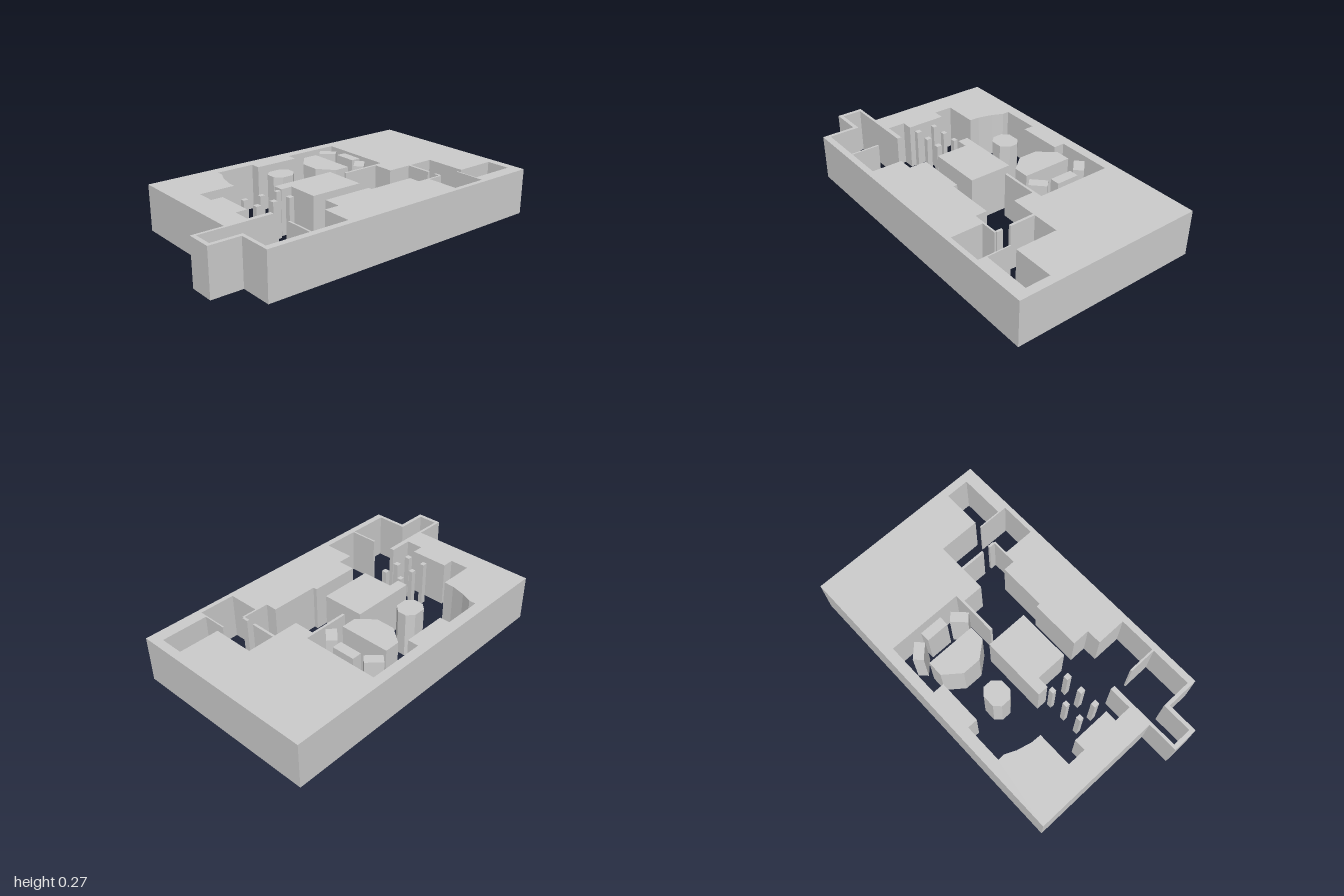
import * as THREE from 'three';

const H = 0.273;
const material = new THREE.MeshStandardMaterial({ color: 0xcccccc, flatShading: true });

// Plan points are [x, z]; plans are raised from the ground to height H.
const toPlan = pts => pts.map(([x, z]) => new THREE.Vector2(x, -z));

// Outline and hole are both listed clockwise; the hole is reversed so its walls face inward.
function raise(name, outline, hole) {
  const shape = new THREE.Shape(toPlan(outline));
  if (hole) shape.holes.push(new THREE.Path(toPlan(hole).reverse()));
  const geo = new THREE.ExtrudeGeometry(shape, { depth: H, bevelEnabled: false });
  geo.rotateX(-Math.PI / 2);
  const mesh = new THREE.Mesh(geo, material);
  mesh.name = name;
  return mesh;
}

function block(name, x0, x1, z0, z1) {
  const mesh = new THREE.Mesh(new THREE.BoxGeometry(x1 - x0, H, z1 - z0), material);
  mesh.position.set((x0 + x1) / 2, H / 2, (z0 + z1) / 2);
  mesh.name = name;
  return mesh;
}

export function createModel() {
  const model = new THREE.Group();
  model.name = 'floorPlan';

  // Solid surround with a side passage, cut through by the rooms
  const outer = [
    [-0.815, -0.565], [1, -0.565], [1, 0.565], [-0.815, 0.565],
    [-0.815, 0.365], [-1, 0.365], [-1, 0.21], [-0.815, 0.21],
  ];
  const north = [
    [-0.41, -0.5], [-0.175, -0.5], [-0.175, -0.439], [0.095, -0.439], [0.095, -0.506], [0.435, -0.506],
  ];
  const east = [
    [0.435, -0.045], [0.382, -0.045], [0.382, 0.094], [0.708, 0.094],
    [0.708, 0.345], [0.949, 0.345], [0.949, 0.489], [0.663, 0.489],
  ];
  const south = [
    [0.663, 0.537], [0.446, 0.537], [0.446, 0.334], [0.373, 0.334], [0.373, 0.264], [0.083, 0.264],
    [0.083, 0.24], [-0.217, 0.24], [-0.217, 0.345], [-0.307, 0.345], [-0.307, 0.527], [-0.794, 0.527],
  ];
  const west = [
    [-0.794, 0.342], [-0.976, 0.342], [-0.976, 0.227], [-0.676, 0.227], [-0.676, 0.096],
    [-0.607, 0.096], [-0.607, -0.136], [-0.676, -0.136], [-0.676, -0.249], [-0.463, -0.249],
    [-0.46, -0.31], [-0.438, -0.396], [-0.409, -0.46],
  ];
  model.add(raise('surround', outer, [...north, ...east, ...south, ...west]));

  // Thin partitions standing off the surround: x0, x1, z0, z1
  const partitions = new THREE.Group();
  partitions.name = 'partitions';
  for (const p of [
    [0.152, 0.382, -0.045, -0.03],
    [0.532, 0.547, 0.094, 0.249],
    [0.532, 0.547, 0.297, 0.334],
    [0.446, 0.54, 0.334, 0.345],
    [0.663, 0.671, 0.347, 0.489],
    [-0.543, -0.532, 0.355, 0.527],
    [-0.676, -0.537, 0.2, 0.227],
  ]) partitions.add(block('partition', ...p));
  model.add(partitions);

  // Free-standing core between the rooms
  model.add(raise('core', [
    [-0.297, -0.104], [0.095, -0.104], [0.095, 0.152], [-0.228, 0.152], [-0.228, -0.04], [-0.297, -0.04],
  ]));

  // Eight-sided pillar
  model.add(raise('octagonalPillar', [
    [-0.177, -0.326], [-0.104, -0.326], [-0.064, -0.291], [-0.064, -0.238],
    [-0.104, -0.195], [-0.174, -0.195], [-0.211, -0.233], [-0.211, -0.291],
  ]));

  // Large pillar with chamfered corners
  model.add(raise('chamferedPillar', [
    [0.144, -0.415], [0.237, -0.415], [0.237, -0.11], [0.144, -0.11], [0.066, -0.203], [0.066, -0.316],
  ]));

  // Arc of three small blocks, the outer two turned by 45 degrees
  const arc = new THREE.Group();
  arc.name = 'blockArc';
  arc.add(block('middleBlock', 0.34, 0.399, -0.335, -0.195));
  for (const s of [-1, 1]) {
    const turned = block('turnedBlock', -0.051, 0.051, -0.03, 0.03);
    turned.position.set(0.328, H / 2, -0.264 + s * 0.147);
    turned.rotation.y = s * Math.PI / 4;
    arc.add(turned);
  }
  model.add(arc);

  // Two rows of square columns: row z and half depth
  const columns = new THREE.Group();
  columns.name = 'columns';
  for (const x of [-0.537, -0.433, -0.329])
    for (const [z, d] of [[-0.032, 0.013], [0.081, 0.016]])
      columns.add(block('column', x - 0.015, x + 0.015, z - d, z + d));
  model.add(columns);

  return model;
}
